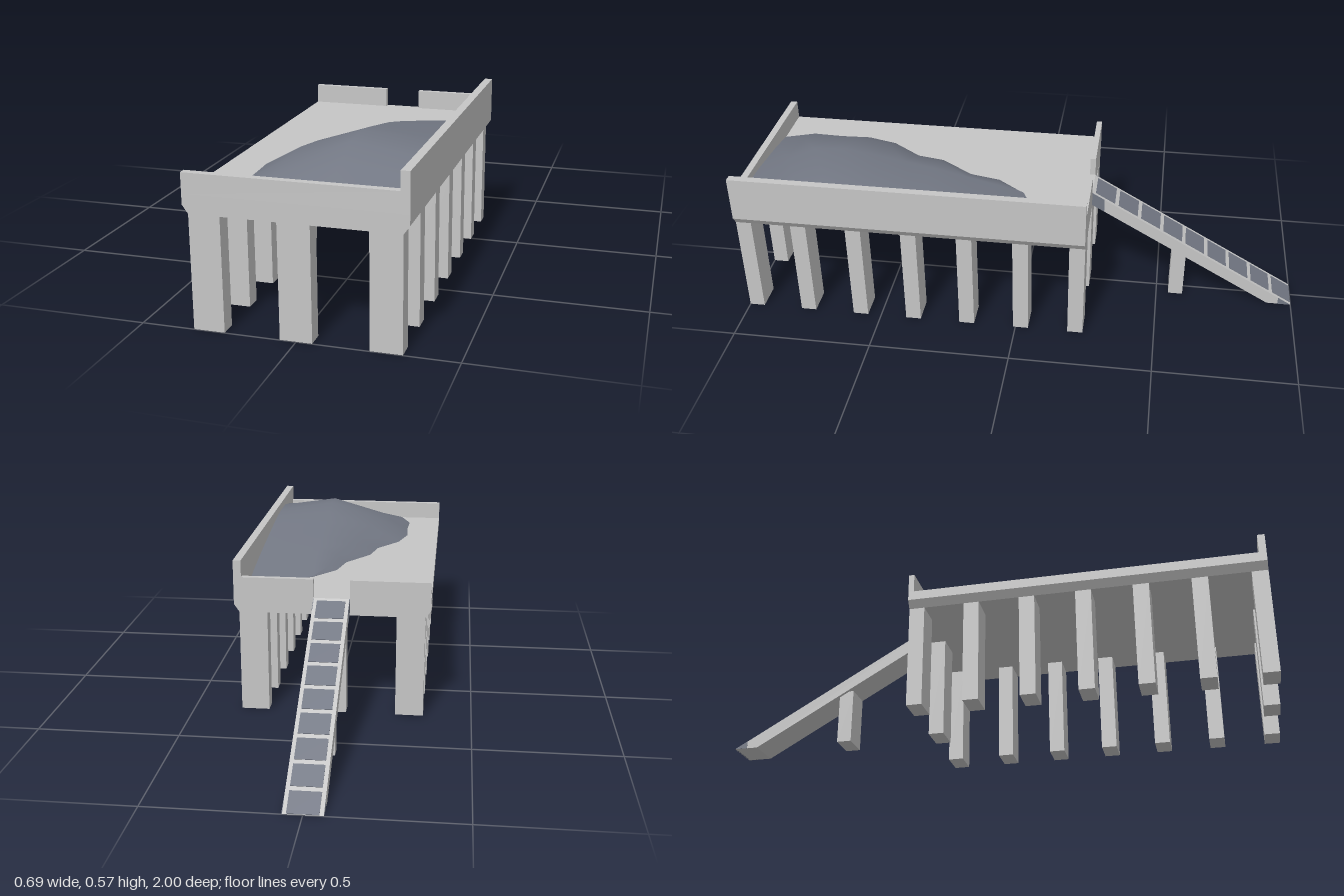
import * as THREE from 'three';

export function createModel() {
  const model = new THREE.Group();
  model.name = 'loadingPlatform';
  const concrete = new THREE.MeshStandardMaterial({ color: 0xc6c6c6 });
  concrete.name = 'concrete';
  const slate = new THREE.MeshStandardMaterial({ color: 0x737884 });
  slate.name = 'slate';
  const slateOpen = new THREE.MeshStandardMaterial({ color: 0x737884, side: THREE.DoubleSide });
  slateOpen.name = 'slate';

  const add = (name, geometry, material) => {
    const mesh = new THREE.Mesh(geometry, material);
    mesh.name = name;
    model.add(mesh);
    return mesh;
  };
  // box given by its limits on each axis
  const block = (name, x0, x1, y0, y1, z0, z1) => {
    const g = new THREE.BoxGeometry(x1 - x0, y1 - y0, z1 - z0);
    g.translate((x0 + x1) / 2, (y0 + y1) / 2, (z0 + z1) / 2);
    return add(name, g, concrete);
  };
  const prism = (points, depth) => new THREE.ExtrudeGeometry(
    new THREE.Shape(points.map(([x, y]) => new THREE.Vector2(x, y))),
    { depth, bevelEnabled: false });

  const W = 0.347, BACK = -0.245, DECK = 0.43, UNDER = 0.37, RIM = 0.497;

  // deck slab with chamfered lower side edges
  const slab = prism([[-0.328, UNDER], [0.328, UNDER], [W, 0.397], [W, DECK], [-W, DECK], [-W, 0.397]], 1 - BACK);
  slab.translate(0, 0, BACK);
  add('deck', slab, concrete);

  // parapets: low front and split back, tall on the left side
  block('frontParapet', -W, 0.319, DECK, RIM, 0.975, 1);
  block('backParapetRight', -W, -0.064, DECK, RIM, BACK, BACK + 0.02);
  block('backParapetLeft', 0.064, 0.319, DECK, RIM, BACK, BACK + 0.02);
  block('sideWall', 0.319, W, DECK, 0.557, BACK, 1);

  // two rows of seven columns, plus a middle one at each end
  for (let i = 0; i < 7; i++) {
    const z1 = 1 - i * 0.1983, z0 = z1 - 0.055;
    block('columnLeft', 0.228, 0.328, 0, UNDER, z0, z1);
    block('columnRight', -0.328, -0.228, 0, UNDER, z0, z1);
    if (i % 6 === 0) block('columnMiddle', -0.051, 0.051, 0, UNDER, z0, z1);
  }

  // ramp: side profile in (-z, y), extruded across x
  const across = (points, width, x = 0) => {
    const g = prism(points, width);
    g.translate(0, 0, -width / 2);
    g.rotateY(Math.PI / 2);
    g.translate(x, 0, 0);
    return g;
  };
  const slope = DECK / 0.755, top = (u) => (1 - u) * slope;
  add('ramp', across([[0.245, DECK], [0.245, 0.38], [0.912, 0], [1, 0]], 0.126), concrete);
  block('rampSupport', -0.051, 0.051, 0, 0.2, -0.598, -0.545);

  // dark end faces on the ramp sides
  for (const x of [-0.063, 0.063]) {
    add('rampUpperEnd', across([[0.245, DECK], [0.245, 0.38], [0.29, 0.355], [0.29, top(0.29)]], 0.002, x), slate);
    add('rampLowerEnd', across([[0.952, top(0.952)], [0.952, 0], [1, 0]], 0.002, x), slate);
  }

  // tread panels on the slope
  const tilt = Math.atan(slope);
  for (let i = 0; i < 9; i++) {
    const z = -0.9635 + i * 0.084;
    const panel = add('rampPanel', new THREE.BoxGeometry(0.1, 0.004, 0.07 / Math.cos(tilt)), slate);
    panel.position.set(0, top(-z), z);
    panel.rotation.x = -tilt;
  }

  // heap against the side wall; rows: z, outer edge x, ridge height, height at wall
  const rows = [
    [-0.105, 0.318, 0, 0], [0, 0.1, 0.004, 0.022], [0.1, 0.02, 0.03, 0.038], [0.21, -0.005, 0.055, 0.053],
    [0.33, -0.09, 0.082, 0.068], [0.43, -0.11, 0.1, 0.08], [0.54, -0.19, 0.12, 0.092],
    [0.65, -0.22, 0.135, 0.097], [0.76, -0.215, 0.128, 0.095], [0.87, -0.22, 0.085, 0.075],
    [0.975, -0.18, 0.035, 0.048],
  ];
  const positions = [], index = [];
  rows.forEach(([z, edge, ridge, wall], r) => {
    const rx = Math.max(0.1, edge);
    const section = [[edge, 0], [edge + (rx - edge) * 0.375, ridge * 0.5], [rx, ridge], [0.319, wall]];
    section.forEach(([x, h]) => positions.push(x, DECK + 0.001 + h, z));
    if (r === 0) return;
    for (let c = 0; c < 3; c++) {
      const a = (r - 1) * 4 + c, b = a + 4;
      index.push(a, b, a + 1, a + 1, b, b + 1);
    }
  });
  const heap = new THREE.BufferGeometry();
  heap.setAttribute('position', new THREE.Float32BufferAttribute(positions, 3));
  heap.setIndex(index);
  heap.computeVertexNormals();
  add('heap', heap, slateOpen);

  return model;
}
